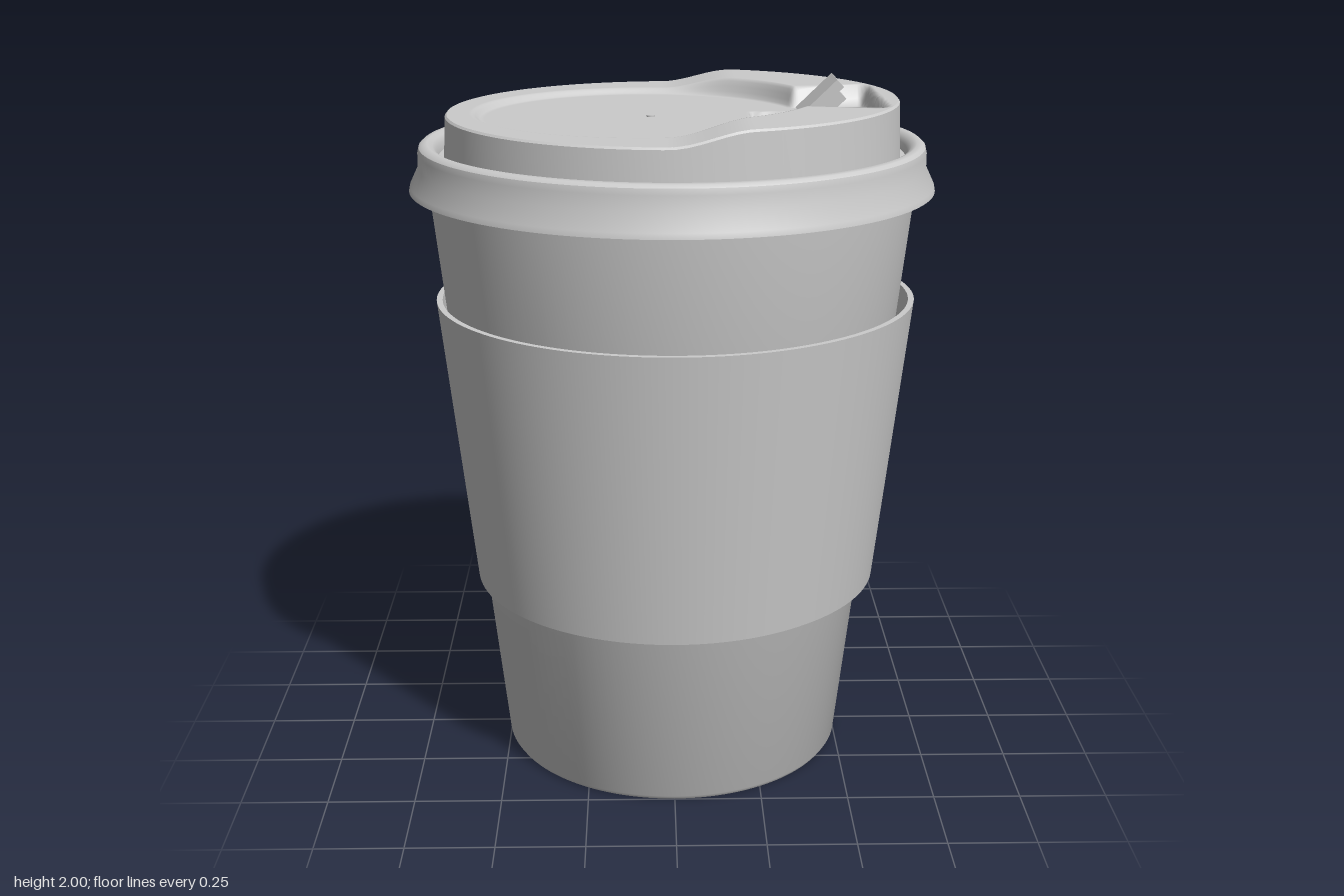
import * as THREE from 'three';
import { toCreasedNormals } from 'three/addons/utils/BufferGeometryUtils.js';

const material = new THREE.MeshStandardMaterial({ color: 0xcccccc, side: THREE.DoubleSide });
const { smoothstep, lerp, degToRad } = THREE.MathUtils;
const SEG = 128;

function part(name, geometry, crease) {
  const mesh = new THREE.Mesh(crease ? toCreasedNormals(geometry, crease) : geometry, material);
  mesh.name = name;
  return mesh;
}

function lathe(name, profile) {
  const points = profile.map(([r, y]) => new THREE.Vector2(r, y));
  return part(name, new THREE.LatheGeometry(points, SEG), 0.6);
}

// Grid surface: point(i, j) gives [x, y, z] for column i and row j
function gridSurface(cols, rows, point) {
  const positions = [], index = [];
  for (let i = 0; i <= cols; i++)
    for (let j = 0; j <= rows; j++) positions.push(...point(i, j));
  for (let i = 0; i < cols; i++)
    for (let j = 0; j < rows; j++) {
      const a = i * (rows + 1) + j, b = a + rows + 1;
      index.push(a, b, a + 1, b, b + 1, a + 1);
    }
  const geometry = new THREE.BufferGeometry();
  geometry.setAttribute('position', new THREE.Float32BufferAttribute(positions, 3));
  geometry.setIndex(index);
  geometry.computeVertexNormals();
  return geometry;
}

function box(name, w, h, d, x, y, z) {
  const mesh = part(name, new THREE.BoxGeometry(w, h, d));
  mesh.position.set(x, y, z);
  return mesh;
}

// Lid rim is higher on the drinking side
const rimHeight = (x) => 1.91 + 0.04 * smoothstep(x, -0.02, 0.2);

// Soft-edged rectangle mask, 1 inside and 0 outside
function rectMask(x, z, x0, x1, halfZ, soft) {
  return smoothstep(x, x0 - soft, x0 + soft) * (1 - smoothstep(x, x1 - soft, x1 + soft))
    * (1 - smoothstep(Math.abs(z), halfZ - soft, halfZ + soft));
}

// Round dish, drinking channel, flap pocket and sip opening pressed into the lid
function lidHeight(x, z) {
  const dish = 1 - smoothstep(Math.hypot(x + 0.08, z), 0.455, 0.485);
  const channel = rectMask(x, z, 0.3, 0.57, 0.18 + 0.2 * Math.max(0, x - 0.37), 0.015);
  const y = lerp(rimHeight(x), 1.893, Math.max(dish, channel));
  return y - 0.02 * rectMask(x, z, 0.226, 0.356, 0.075, 0.005)
    - 0.035 * rectMask(x, z, 0.415, 0.515, 0.07, 0.005);
}

// Cardboard sheet wrapped once round the cup, its outer end lapping over the inner end
function sleeveGeometry() {
  const thickness = 0.017, cols = 150, span = 382;
  const section = [[0, 1.38], [0, 0.53], [1, 0.53], [1, 1.38], [0, 1.38]];
  return gridSurface(cols + 2, 4, (i, j) => {
    const turn = span * Math.min(Math.max(i - 1, 0), cols) / cols;
    const angle = degToRad(turn - 35);
    const inward = i === 0 || i === cols + 2 ? 0.5 : section[j][0];
    const y = section[j][1];
    const lap = 0.021 * (1 - smoothstep(turn, 30, 95));
    const r = lerp(0.587, 0.681, (y - 0.53) / 0.85) + lap - inward * thickness;
    return [r * Math.cos(angle), y, r * Math.sin(angle)];
  });
}

function createLid() {
  const lid = new THREE.Group();
  lid.name = 'lid';

  // Flared skirt, rolled rim and groove
  lid.add(lathe('lidRim', [
    [0.695, 1.81], [0.708, 1.77], [0.735, 1.7], [0.745, 1.7], [0.742, 1.715], [0.718, 1.765],
    [0.718, 1.805], [0.714, 1.822], [0.705, 1.83], [0.69, 1.832], [0.675, 1.825],
    [0.664, 1.81], [0.66, 1.79], [0.643, 1.79],
  ]));

  // Raised wall whose top follows the rim height
  lid.add(part('lidWall', gridSurface(SEG, 2, (i, j) => {
    const a = i / SEG * Math.PI * 2;
    const r = [0.632, 0.638, 0.644][j];
    const top = rimHeight(0.635 * Math.cos(a));
    return [r * Math.cos(a), [top, top - 0.006, 1.785][j], r * Math.sin(a)];
  }), 0.5));

  // Top panel: rings centred on the dish, easing to the lid centre at the rim
  const rings = 110, around = 192;
  lid.add(part('lidTop', gridSurface(around, rings, (i, j) => {
    const a = i / around * Math.PI * 2;
    const r = 0.633 * j / rings;
    const shift = -0.08 * Math.min(1, (0.633 - r) / 0.14);
    const x = shift + r * Math.cos(a), z = r * Math.sin(a);
    return [x, lidHeight(x, z), z];
  })));

  // Vent mark
  const vent = part('vent', new THREE.CylinderGeometry(0.012, 0.012, 0.006, 20));
  vent.position.set(-0.06, 1.894, 0);
  lid.add(vent);

  // Hinge ridges either side of the flap
  for (const side of [-1, 1])
    for (const x of [0.37, 0.39])
      lid.add(box('hingeRidge', 0.007, 0.01, 0.06, x, 1.895, side * 0.11));

  // Half-open sip flap with a plug beneath
  const flap = new THREE.Group();
  flap.name = 'sipFlap';
  flap.add(box('flapPlate', 0.14, 0.016, 0.155, 0.07, 0.004, 0));
  flap.add(box('flapTip', 0.02, 0.028, 0.155, 0.13, -0.002, 0));
  flap.add(box('flapPlug', 0.085, 0.045, 0.12, 0.08, -0.025, 0));
  flap.position.set(0.365, 1.898, -0.004);
  flap.rotation.z = degToRad(44);
  lid.add(flap);
  return lid;
}

export function createModel() {
  const model = new THREE.Group();
  model.name = 'coffeeCup';
  // Tapered cup with a recessed base
  model.add(lathe('cup', [
    [0, 0.05], [0.462, 0.05], [0.468, 0.006], [0.475, 0], [0.497, 0], [0.505, 0.012],
    [0.69, 1.7], [0.7, 1.8],
  ]));
  model.add(part('sleeve', sleeveGeometry(), 0.6));
  model.add(createLid());
  return model;
}
